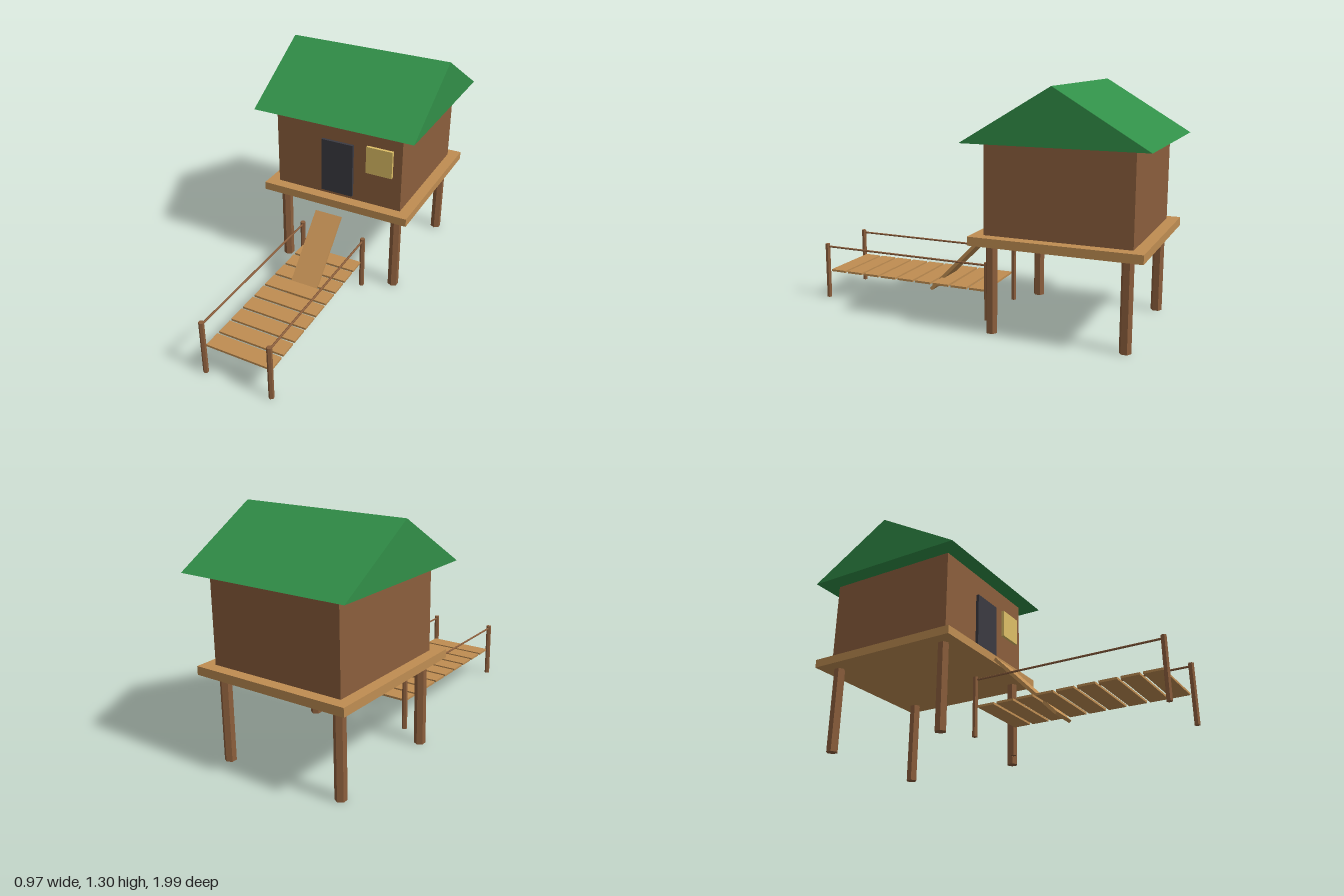
import * as THREE from 'three';

const mat = (name, color) => {
  const m = new THREE.MeshStandardMaterial({ color, flatShading: true });
  m.name = name;
  return m;
};

export function createModel() {
  const group = new THREE.Group();
  const brown = mat('brown timber', 0x8b5e3c);
  const plankWood = mat('light planks', 0xbf8d52);
  const green = mat('green roof', 0x318f48);
  const dark = mat('dark door', 0x3b3a41);
  const yellow = mat('yellow window', 0xddbe66);

  const add = (name, geometry, material, x, y, z) => {
    const mesh = new THREE.Mesh(geometry, material);
    mesh.name = name;
    mesh.position.set(x, y, z);
    group.add(mesh);
    return mesh;
  };
  const box = (name, w, h, d, material, x, y, z) =>
    add(name, new THREE.BoxGeometry(w, h, d), material, x, y, z);
  const pole = (name, r, h, x, y, z) =>
    add(name, new THREE.CylinderGeometry(r, r, h, 6), brown, x, y, z);

  // Hut on its platform
  const hutZ = -0.512;
  box('platform', 0.908, 0.047, 0.908, plankWood, 0, 0.507, hutZ);
  box('walls', 0.78, 0.482, 0.78, brown, 0, 0.771, hutZ);
  box('door', 0.196, 0.325, 0.02, dark, 0, 0.7175, -0.115);
  box('window', 0.158, 0.163, 0.02, yellow, 0.259, 0.8145, -0.115);

  // Gable roof: solid prism with the ridge along x
  const gable = new THREE.Shape([
    new THREE.Vector2(-0.483, 0),
    new THREE.Vector2(0.483, 0),
    new THREE.Vector2(0, 0.29),
  ]);
  const roofGeometry = new THREE.ExtrudeGeometry(gable, { depth: 0.974, bevelEnabled: false });
  roofGeometry.translate(0, 0, -0.487).rotateY(Math.PI / 2);
  add('roof', roofGeometry, green, 0, 1.011, hutZ);

  // Stilts
  for (const x of [-0.358, 0.358])
    for (const z of [-0.154, -0.87]) pole('stilt', 0.0315, 0.484, x, 0.242, z);

  // Footbridge: spaced planks, corner posts and handrails
  for (let i = 0; i < 9; i++)
    box('bridgePlank', 0.386, 0.012, 0.097, plankWood, 0, 0.164, 0.918 - i * 0.1137);
  for (const x of [-0.197, 0.197]) {
    for (const z of [0.985, -0.053]) pole('bridgePost', 0.0148, 0.327, x, 0.1635, z);
    pole('handrail', 0.006, 1.038, x, 0.311, 0.466).rotation.x = Math.PI / 2;
  }

  // Sloping ramp up towards the door
  box('ramp', 0.162, 0.018, 0.522, plankWood, 0, 0.2785, 0.174).rotation.x = 0.8;

  return group;
}
